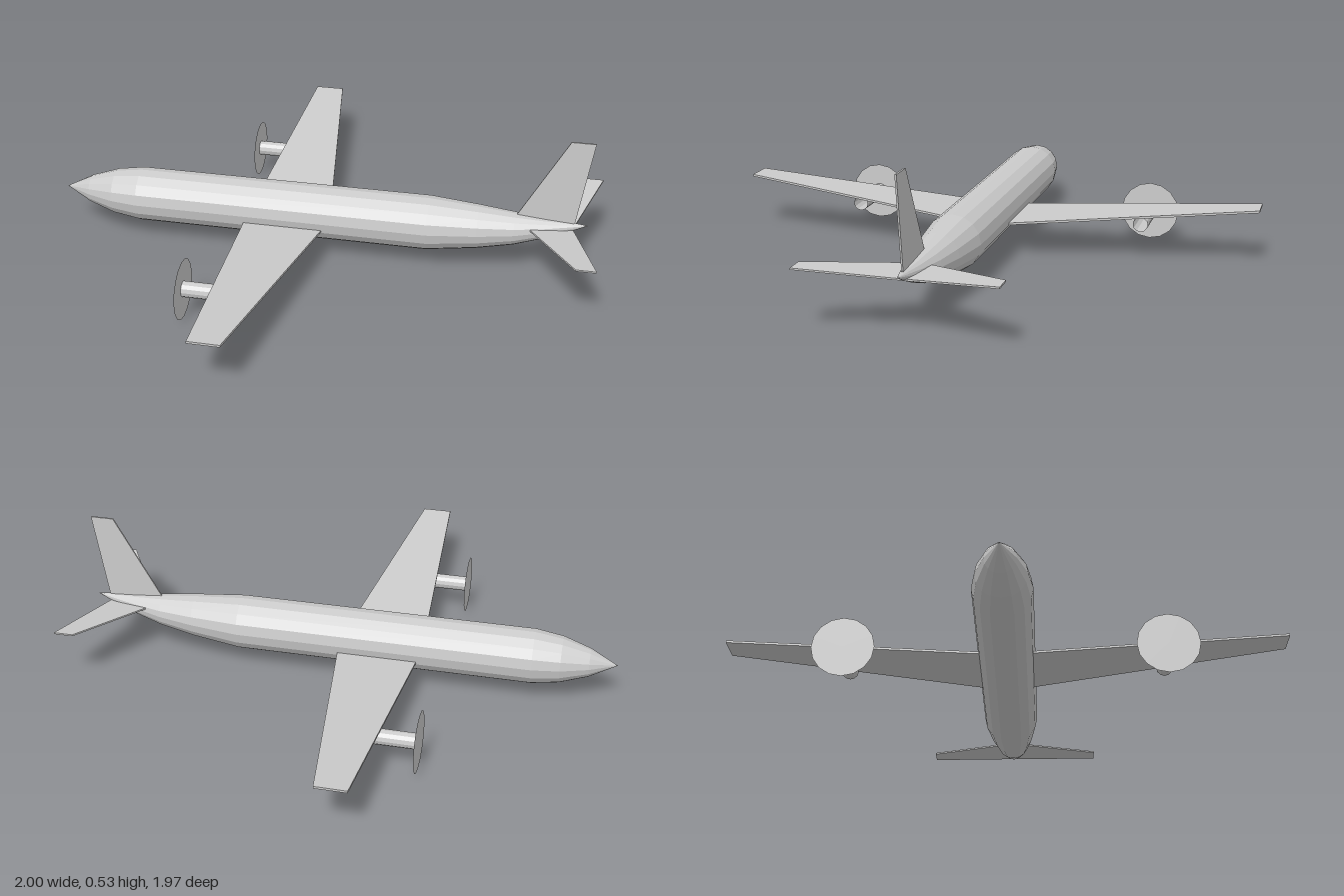
import * as THREE from 'three';

const material = new THREE.MeshStandardMaterial({ color: 0xcccccc, flatShading: true, side: THREE.DoubleSide });

function part(name, geometry) {
  const mesh = new THREE.Mesh(geometry, material);
  mesh.name = name;
  return mesh;
}

// Body skin lofted through round sections [x, centre height, radius]
function loft(sections, sides) {
  const positions = [], indices = [];
  for (const [x, cy, r] of sections) {
    for (let j = 0; j < sides; j++) {
      const a = (j / sides) * Math.PI * 2;
      positions.push(x, cy + r * Math.cos(a), r * Math.sin(a));
    }
  }
  for (let i = 0; i < sections.length - 1; i++) {
    for (let j = 0; j < sides; j++) {
      const k = (j + 1) % sides;
      const a = i * sides + j, b = i * sides + k, c = a + sides, d = b + sides;
      if (sections[i][2] > 0) indices.push(a, b, c);
      if (sections[i + 1][2] > 0) indices.push(b, d, c);
    }
  }
  const g = new THREE.BufferGeometry();
  g.setAttribute('position', new THREE.Float32BufferAttribute(positions, 3));
  g.setIndex(indices);
  g.computeVertexNormals();
  return g;
}

// Tapered, swept panel; root and tip are [leading x, trailing x, height]
function panel(root, tip, span, thickness, side) {
  const g = new THREE.BoxGeometry(1, 1, 1);
  const p = g.attributes.position;
  const lerp = THREE.MathUtils.lerp;
  for (let i = 0; i < p.count; i++) {
    const t = side * p.getZ(i) + 0.5;
    const lead = lerp(root[0], tip[0], t), trail = lerp(root[1], tip[1], t);
    p.setXYZ(i,
      lerp(lead, trail, p.getX(i) + 0.5),
      lerp(root[2], tip[2], t) + p.getY(i) * thickness,
      side * span * t);
  }
  g.computeVertexNormals();
  return g;
}

export function createModel() {
  const model = new THREE.Group();
  model.name = 'airplane';

  // Fuselage with pointed nose and upswept tail
  model.add(part('fuselage', loft([
    [-1, 0.155, 0],
    [-0.9, 0.155, 0.052],
    [-0.8, 0.155, 0.085],
    [-0.7, 0.155, 0.1],
    [0.39, 0.155, 0.1],
    [0.57, 0.16, 0.08],
    [0.7, 0.167, 0.06],
    [0.81, 0.18, 0.037],
    [0.9, 0.195, 0.016],
    [0.96, 0.206, 0],
  ], 16)));

  // Vertical fin
  const finShape = new THREE.Shape([
    [0.7, 0.215], [0.9, 0.2], [0.912, 0.215], [0.96, 0.53], [0.875, 0.53],
  ].map(([x, y]) => new THREE.Vector2(x, y)));
  const fin = new THREE.ExtrudeGeometry(finShape, { depth: 0.006, bevelEnabled: false });
  fin.translate(0, 0, -0.003);
  model.add(part('fin', fin));

  for (const side of [1, -1]) {
    const label = side > 0 ? 'near' : 'far';

    // Main wing and tailplane, both with upward slope
    model.add(part(label + 'Wing', panel([-0.291, 0.02, 0.115], [-0.235, -0.125, 0.202], 0.985, 0.008, side)));
    model.add(part(label + 'Tailplane', panel([0.73, 0.905, 0.183], [0.93, 1, 0.218], 0.335, 0.006, side)));

    // Engine tube and propeller disc
    const engine = new THREE.Group();
    engine.name = label + 'Engine';
    engine.position.set(-0.38, 0.108, side * 0.55);
    const nacelle = new THREE.CylinderGeometry(0.028, 0.028, 0.215, 12, 1, true);
    nacelle.rotateZ(Math.PI / 2).translate(0.1075, 0.002, 0);
    const disc = new THREE.CircleGeometry(0.108, 16);
    disc.rotateY(-Math.PI / 2);
    engine.add(part('nacelle', nacelle), part('propellerDisc', disc));
    model.add(engine);
  }
  return model;
}
